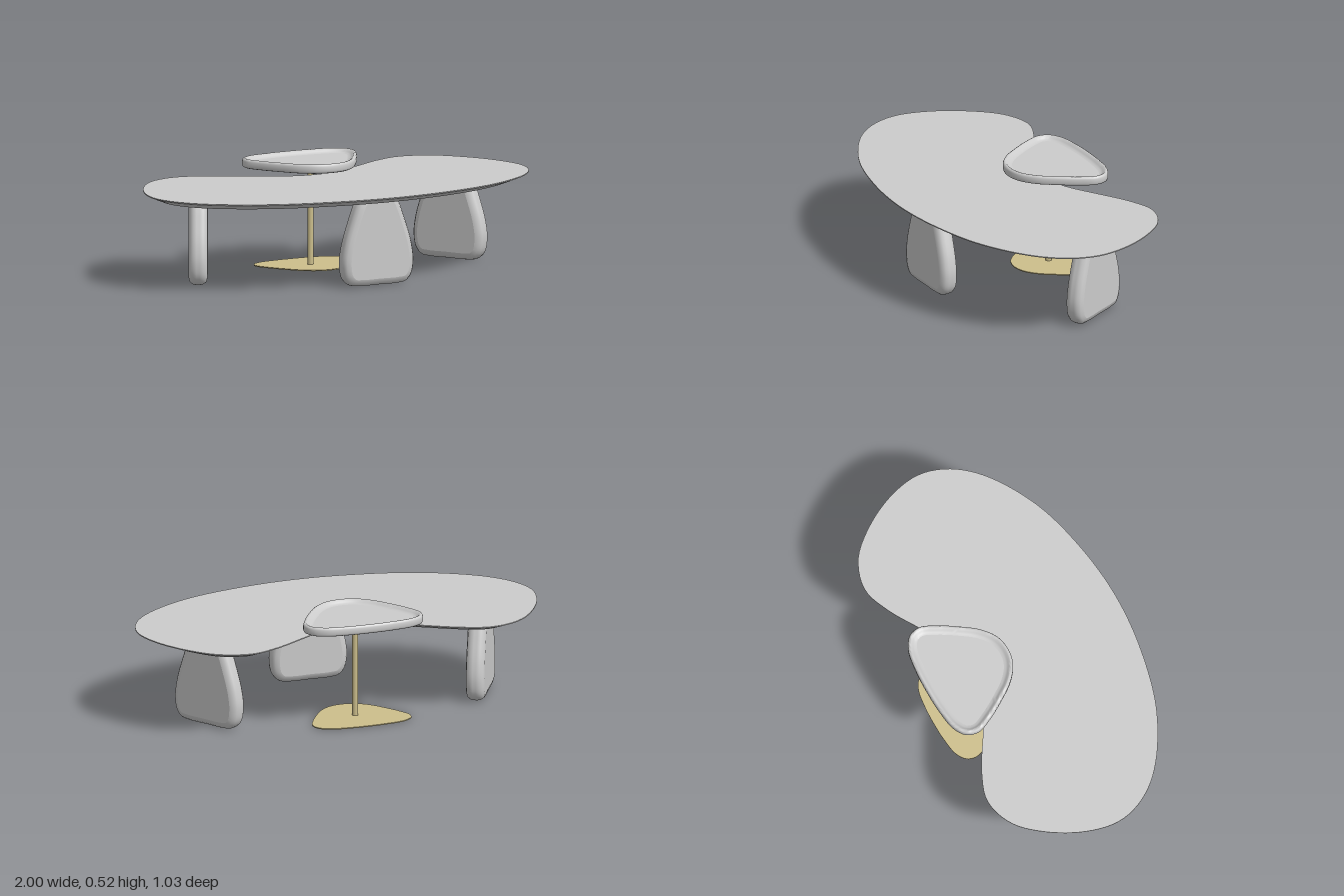
import * as THREE from 'three';
import { mergeGeometries, toCreasedNormals } from 'three/addons/utils/BufferGeometryUtils.js';

// Smooth closed outline (counter-clockwise) from the +x half, listed from lowest y to highest y
function outline(half, count) {
  const mirrored = half.slice(1, -1).reverse().map(([x, y]) => [-x, y]);
  const points = [...half, ...mirrored].map(([x, y]) => new THREE.Vector3(x, y, 0));
  const curve = new THREE.CatmullRomCurve3(points, true, 'centripetal');
  return curve.getSpacedPoints(count).slice(0, count);
}

// Outline moved inwards along its normals
function insetRing(points, inset) {
  const n = points.length;
  return points.map((p, i) => {
    const t = points[(i + 1) % n].clone().sub(points[(i + n - 1) % n]).normalize();
    return new THREE.Vector2(p.x - t.y * inset, p.y + t.x * inset);
  });
}

function makeGeometry(position) {
  const g = new THREE.BufferGeometry();
  g.setAttribute('position', new THREE.Float32BufferAttribute(position, 3));
  return g;
}

// Solid through [inset, height] layers of one outline, closed with flat caps
function layered(points, layers, crease) {
  const n = points.length;
  const rings = layers.map(([inset]) => insetRing(points, inset));
  const vertex = (k, i) => [rings[k][i % n].x, rings[k][i % n].y, layers[k][1]];
  const sides = [], caps = [];
  for (let k = 0; k < layers.length - 1; k++) {
    for (let i = 0; i < n; i++) {
      const a = vertex(k, i), b = vertex(k, i + 1), c = vertex(k + 1, i + 1), d = vertex(k + 1, i);
      sides.push(...a, ...b, ...c, ...a, ...c, ...d);
    }
  }
  const last = layers.length - 1;
  for (const [a, b, c] of THREE.ShapeUtils.triangulateShape(rings[0], [])) {
    caps.push(...vertex(0, c), ...vertex(0, b), ...vertex(0, a));
  }
  for (const [a, b, c] of THREE.ShapeUtils.triangulateShape(rings[last], [])) {
    caps.push(...vertex(last, a), ...vertex(last, b), ...vertex(last, c));
  }
  const capGeometry = makeGeometry(caps);
  capGeometry.computeVertexNormals();
  return mergeGeometries([toCreasedNormals(makeGeometry(sides), crease), capGeometry]);
}

export function createModel() {
  const model = new THREE.Group();
  const stone = new THREE.MeshStandardMaterial({ name: 'pale grey', color: 0xcccccc });
  const brass = new THREE.MeshStandardMaterial({ name: 'brass', color: 0xcdbf8c });

  const add = (name, geometry, material, x = 0, y = 0, z = 0) => {
    const mesh = new THREE.Mesh(geometry, material);
    mesh.name = name;
    mesh.position.set(x, y, z);
    model.add(mesh);
    return mesh;
  };
  // Plan outlines are given as (x, z) from front to back
  const plan = (half, count) => outline(half.map(([x, z]) => [x, -z]), count);
  const slab = (points, layers, crease) => layered(points, layers, crease).rotateX(-Math.PI / 2);

  // Wide curved top with an undercut edge and a notch at the back
  const topPlan = plan([
    [0, 0.515], [0.3, 0.487], [0.6, 0.405], [0.85, 0.255], [0.96, 0.12], [1, -0.02],
    [0.97, -0.18], [0.88, -0.35], [0.76, -0.475], [0.61, -0.52], [0.47, -0.475],
    [0.3, -0.375], [0.2, -0.315], [0.1, -0.272], [0, -0.255],
  ], 160);
  add('tableTop', slab(topPlan, [[0.07, 0.41], [0, 0.438], [0, 0.443]], 0.5), stone);

  // Three tapering slab legs with rounded edges
  const legOutline = outline([
    [0, 0], [0.1, 0], [0.15, 0.008], [0.181, 0.042], [0.193, 0.11], [0.183, 0.19],
    [0.153, 0.29], [0.105, 0.41], [0.08, 0.437], [0, 0.44],
  ], 96);
  const bevel = [[0.034, 0.045], [0.014, 0.039], [0.003, 0.024], [0, 0.008]];
  const legLayers = [
    ...bevel.map(([inset, d]) => [inset, -d]),
    ...bevel.slice().reverse(),
  ];
  const legGeometry = layered(legOutline, legLayers, 0.8);
  add('frontLeg', legGeometry, stone, 0, 0, 0.34);
  for (const side of [1, -1]) {
    const leg = add(side > 0 ? 'leftLeg' : 'rightLeg', legGeometry, stone, side * 0.69, 0, -0.16);
    leg.rotation.y = side > 0 ? -Math.PI / 3 : -2 * Math.PI / 3;
  }

  // Raised dished tray
  const trayHalf = [
    [0, -0.075], [0.08, -0.092], [0.15, -0.145], [0.21, -0.225], [0.265, -0.315],
    [0.298, -0.395], [0.283, -0.455], [0.225, -0.495], [0.11, -0.514], [0, -0.518],
  ];
  const trayLayers = [
    [0.012, 0.475], [0.003, 0.479], [0, 0.487], [0, 0.508], [0.003, 0.516], [0.01, 0.52],
    [0.016, 0.518], [0.024, 0.508], [0.034, 0.502], [0.044, 0.5],
  ];
  add('tray', slab(plan(trayHalf, 120), trayLayers, 0.9), stone);

  // Tray stand: shaped floor plate, pole and mounting disc
  const poleZ = -0.296;
  const plateHalf = trayHalf.map(([x, z]) => [x * 0.83, poleZ + (z - poleZ) * 0.83]);
  add('floorPlate', slab(plan(plateHalf, 96), [[0, 0], [0, 0.005]], 0.5), brass);
  add('pole', new THREE.CylinderGeometry(0.015, 0.015, 0.472, 32), brass, 0, 0.237, poleZ);
  add('mountingDisc', new THREE.CylinderGeometry(0.073, 0.073, 0.006, 48), brass, 0, 0.473, poleZ);

  return model;
}
